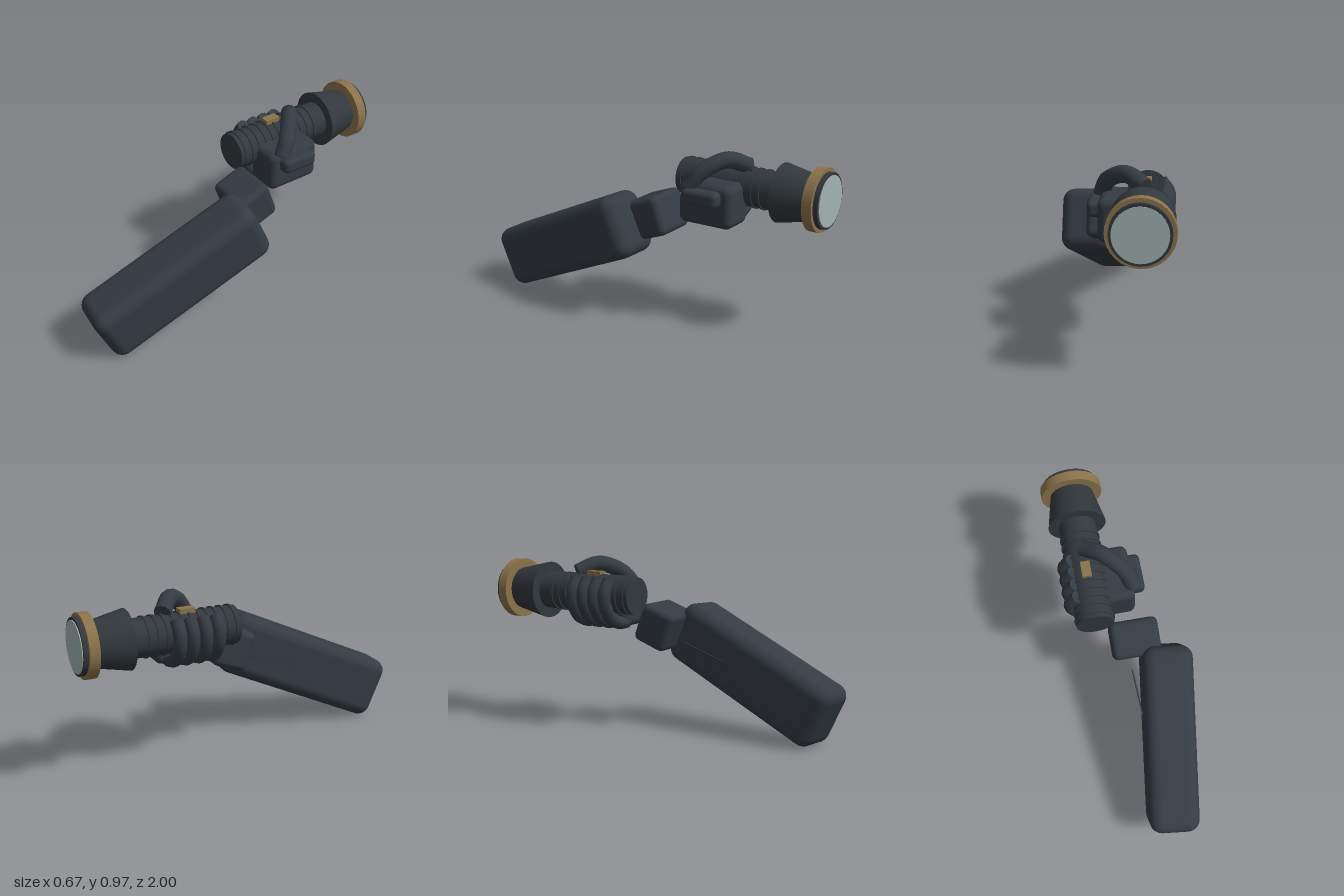
import * as THREE from 'three';
import { RoundedBoxGeometry } from 'three/addons/geometries/RoundedBoxGeometry.js';

const mat = (name, color) => Object.assign(new THREE.MeshStandardMaterial({ color }), { name });

export function createModel() {
  const model = new THREE.Group();
  model.name = 'armWithTorch';
  const sleeve = mat('dark slate', 0x343b42);
  const metal = mat('dark metal', 0x32383d);
  const brass = mat('brass', 0x8b734b);
  const glass = mat('pale glass', 0xa3b3b3);

  const add = (parent, name, geometry, material, pos = [0, 0, 0], rot = [0, 0, 0]) => {
    const mesh = new THREE.Mesh(geometry, material);
    mesh.name = name;
    mesh.position.set(...pos);
    mesh.rotation.set(...rot);
    parent.add(mesh);
    return mesh;
  };
  const block = (name, size, radius, pos, rot) =>
    add(model, name, new RoundedBoxGeometry(...size, 4, radius), sleeve, pos, rot);

  // Forearm, wrist and hand blocks
  block('forearm', [0.28, 0.355, 1.04], 0.07, [0.14, 0.355, 0.472], [0.42, -0.12, 0]);
  block('wrist', [0.27, 0.225, 0.21], 0.035, [0.04, 0.583, -0.06], [0.35, 0, 0]);
  block('palm', [0.205, 0.235, 0.325], 0.04, [-0.023, 0.693, -0.378]);
  block('knucklePad', [0.12, 0.085, 0.215], 0.028, [0.08, 0.743, -0.378]);

  // Thin strap lying along the inner side of the forearm
  const strapStart = new THREE.Vector3(0, 0.5, 0.09);
  const strapEnd = new THREE.Vector3(0.017, 0.4, 0.36);
  const strap = add(model, 'strap',
    new THREE.BoxGeometry(0.007, 0.012, strapStart.distanceTo(strapEnd)), metal);
  strap.position.lerpVectors(strapStart, strapEnd, 0.5);
  strap.lookAt(strapEnd);

  // Digits: bent tubes closed by flat ends
  const digit = (name, points, radius) => {
    const group = new THREE.Group();
    group.name = name;
    const curve = new THREE.CatmullRomCurve3(points.map((p) => new THREE.Vector3(...p)));
    add(group, name + 'Tube', new THREE.TubeGeometry(curve, 24, radius, 12), sleeve);
    for (const [t, sign] of [[0, -1], [1, 1]]) {
      const cap = add(group, name + 'Cap', new THREE.CircleGeometry(radius, 12), sleeve);
      cap.position.copy(curve.getPoint(t));
      cap.lookAt(cap.position.clone().addScaledVector(curve.getTangent(t), sign));
    }
    model.add(group);
  };
  digit('thumb', [[0.075, 0.785, -0.285], [0.04, 0.87, -0.345], [-0.065, 0.925, -0.44],
    [-0.165, 0.88, -0.52]], 0.046);
  [-0.25, -0.323, -0.397, -0.47].forEach((z, i) => digit('finger' + (i + 1), [
    [-0.07, 0.602, z], [-0.13, 0.603, z], [-0.22, 0.638, z], [-0.273, 0.71, z],
    [-0.278, 0.785, z], [-0.235, 0.85, z]], 0.037));

  // Torch, lying along z
  const torch = new THREE.Group();
  torch.name = 'torch';
  torch.position.set(-0.165, 0.766, 0);
  model.add(torch);
  const round = (name, rFront, rBack, zFront, zBack, material) =>
    add(torch, name, new THREE.CylinderGeometry(rFront, rBack, zFront - zBack, 32), material,
      [0, 0, (zFront + zBack) / 2], [Math.PI / 2, 0, 0]);
  round('barrel', 0.105, 0.105, -0.11, -0.74, metal);
  round('head', 0.163, 0.12, -0.72, -0.92, metal);
  round('bezelRing', 0.172, 0.172, -0.915, -0.97, brass);
  round('lensRim', 0.152, 0.152, -0.965, -0.995, metal);
  round('lens', 0.138, 0.138, -0.99, -1, glass);
  for (let i = 0; i < 11; i++) {
    const z = -0.14 - i * 0.049;
    round('gripRing' + (i + 1), 0.112, 0.112, z + 0.006, z - 0.006, metal);
  }
  add(torch, 'switch', new THREE.BoxGeometry(0.052, 0.03, 0.09), brass, [-0.001, 0.112, -0.388]);

  return model;
}
